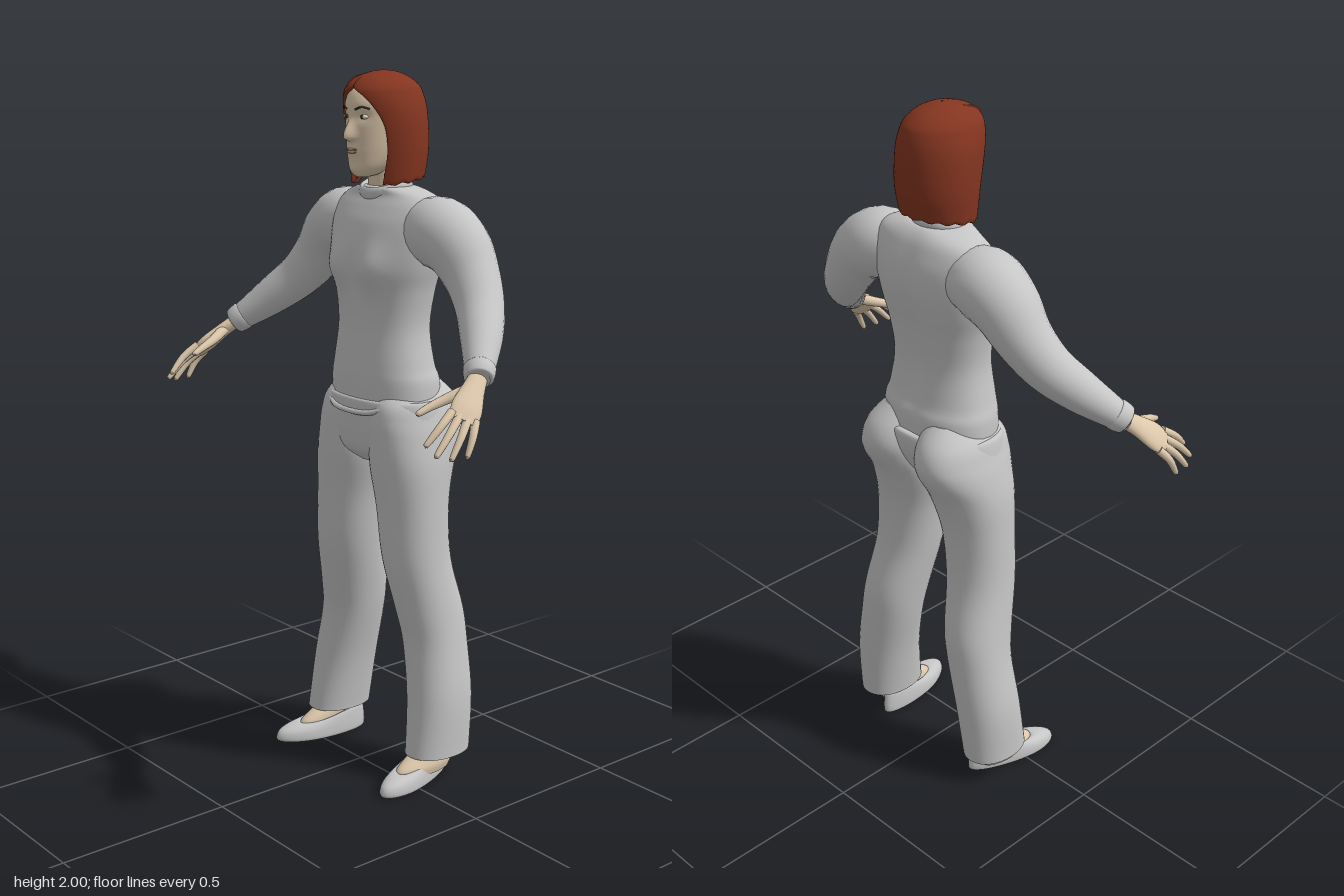
import * as THREE from 'three';

const V = (x, y, z) => new THREE.Vector3(x, y, z);
const { smoothstep } = THREE.MathUtils;
const gauss = (d, w) => Math.exp(-((d / w) ** 2));

// Catmull-Rom resampling of a short table of rows
function refine(rows, k) {
  const out = [];
  const at = i => rows[Math.max(0, Math.min(rows.length - 1, i))];
  for (let i = 0; i < rows.length - 1; i++) for (let s = 0; s < k; s++) {
    const t = s / k, [a, b, c, d] = [at(i - 1), at(i), at(i + 1), at(i + 2)];
    out.push(b.map((_, j) => 0.5 * (2 * b[j] + (c[j] - a[j]) * t + (2 * a[j] - 5 * b[j] + 4 * c[j] - d[j]) * t * t
      + (3 * b[j] - a[j] - 3 * c[j] + d[j]) * t * t * t)));
  }
  out.push(rows[rows.length - 1]);
  return out;
}

// Skin over rings of points; closed rings get end caps
function loft(rings, closed = true) {
  const pos = [], idx = [], n = rings[0].length;
  const add = p => pos.push(p.x, p.y, p.z) / 3 - 1;
  rings.forEach(r => r.forEach(add));
  for (let i = 0; i < rings.length - 1; i++) for (let j = 0; j < (closed ? n : n - 1); j++) {
    const a = i * n + j, b = i * n + (j + 1) % n;
    idx.push(a, a + n, b, b, a + n, b + n);
  }
  if (closed) [rings[0], rings[rings.length - 1]].forEach((r, end) => {
    const mid = add(r.reduce((s, p) => s.add(p), V(0, 0, 0)).divideScalar(n));
    const ids = r.map(add);
    ids.forEach((a, j) => {
      const b = ids[(j + 1) % n];
      end ? idx.push(mid, b, a) : idx.push(mid, a, b);
    });
  });
  const g = new THREE.BufferGeometry();
  g.setAttribute('position', new THREE.Float32BufferAttribute(pos, 3));
  g.setIndex(idx);
  g.computeVertexNormals();
  return g;
}

// Stack of horizontal sections, rows are [y, centre x, half width, front z, back z], bottom to top
function stack(rows, { seg = 40, k = 5, e = 1, deform } = {}) {
  const pw = c => Math.sign(c) * Math.abs(c) ** e;
  return loft(refine(rows, k).map(([y, cx, rx, zf, zb]) => Array.from({ length: seg }, (_, j) => {
    const a = j / seg * Math.PI * 2;
    const p = V(cx + rx * pw(Math.cos(a)), y, (zf + zb) / 2 + (zf - zb) / 2 * pw(Math.sin(a)));
    if (deform) deform(p);
    return p;
  })));
}

// Limb along points [x, y, z, radius u, radius v]
function limb(points, { seg = 24, k = 5, ref = V(0, 0, 1) } = {}) {
  const rows = refine(points, k);
  return loft(rows.map((r, i) => {
    const a = rows[Math.max(0, i - 1)], b = rows[Math.min(rows.length - 1, i + 1)];
    const t = V(b[0] - a[0], b[1] - a[1], b[2] - a[2]).normalize();
    const u = ref.clone().cross(t).normalize(), v = u.clone().cross(t);
    return Array.from({ length: seg }, (_, j) => {
      const q = j / seg * Math.PI * 2;
      return V(r[0], r[1], r[2]).addScaledVector(u, Math.cos(q) * r[3]).addScaledVector(v, Math.sin(q) * (r[4] ?? r[3]));
    });
  }));
}

function mirrored(g) {
  const m = g.clone().scale(-1, 1, 1), ix = m.index.array;
  for (let i = 0; i < ix.length; i += 3) [ix[i], ix[i + 1]] = [ix[i + 1], ix[i]];
  m.computeVertexNormals();
  return m;
}

function ball(x, y, z, rx, ry, rz) {
  return new THREE.SphereGeometry(1, 20, 14).scale(rx, ry, rz).translate(x, y, z);
}

export function createModel() {
  const root = new THREE.Group();
  const mat = (name, color) => Object.assign(new THREE.MeshStandardMaterial({ color }), { name });
  const fabric = mat('grey fabric', 0xc6c6c6), skin = mat('skin', 0xdcc7ab), hairMat = mat('auburn hair', 0x843520);
  const lipMat = mat('lips', 0xb8917c), white = mat('eye white', 0xe6e2da), dark = mat('dark iris', 0x3c2c22);
  hairMat.side = THREE.DoubleSide;
  const put = (name, g, m) => {
    const mesh = new THREE.Mesh(g, m);
    mesh.name = name;
    root.add(mesh);
    return mesh;
  };
  const pair = (name, g, m) => {
    put('left' + name, g, m);
    put('right' + name, mirrored(g), m);
  };

  // Sweater body with bust and spine relief
  put('sweater', stack([
    [1.06, 0, .18, .028, -.21], [1.15, 0, .178, .03, -.212], [1.2, 0, .165, .028, -.198], [1.3, 0, .149, .02, -.188],
    [1.4, 0, .16, .022, -.2], [1.47, 0, .178, .03, -.215], [1.53, 0, .188, .028, -.224], [1.59, 0, .195, .012, -.22],
    [1.635, 0, .19, -.012, -.205], [1.665, 0, .16, -.03, -.19], [1.685, 0, .1, -.03, -.17], [1.69, 0, .06, -.04, -.15],
  ], {
    seg: 64, e: .9, deform: p => {
      if (p.z > -.09) p.z += .025 * gauss(Math.abs(p.x) - .075, .05) * gauss(p.y - 1.47, .06);
      else p.z += .014 * gauss(p.x, .03) * gauss(p.y - 1.38, .2);
    },
  }), fabric);
  const collar = put('collar', new THREE.TorusGeometry(.066, .012, 12, 40).rotateX(Math.PI / 2).scale(1, 1.7, .95), fabric);
  collar.position.set(0, 1.685, -.09);
  collar.rotation.x = .3;

  // Sleeves and cuffs
  pair('Sleeve', limb([
    [.13, 1.57, -.11, .085], [.2, 1.572, -.115, .098], [.27, 1.535, -.118, .09], [.33, 1.465, -.112, .076],
    [.39, 1.395, -.085, .066], [.45, 1.335, -.035, .057], [.5, 1.285, .015, .045], [.532, 1.254, .048, .036],
  ]), fabric);
  pair('Cuff', limb([[.514, 1.272, .03, .036], [.518, 1.268, .034, .043], [.536, 1.25, .053, .039], [.538, 1.248, .055, .03]], { k: 2 }), fabric);

  // Hands
  const across = V(.487, -.417, -.765), normal = V(.77, .61, .16);
  pair('Palm', limb([[.53, 1.255, .046, .024, .02], [.55, 1.225, .085, .031, .018], [.573, 1.187, .128, .042, .017],
    [.588, 1.161, .156, .036, .01]], { ref: normal }), skin);
  [[-.033, .57, 1.115, .258], [-.011, .6, 1.093, .25], [.011, .617, 1.083, .215], [.032, .622, 1.083, .168]].forEach(([o, x, y, z], i) => {
    const b = V(.582, 1.172, .145).addScaledVector(across, o);
    const m = b.clone().lerp(V(x, y, z), .5).addScaledVector(normal, .008);
    pair('Finger' + (i + 1), limb([[b.x, b.y, b.z, .012], [m.x, m.y, m.z, .0105], [x, y, z, .0075], [x, y - .003, z + .003, .003]],
      { seg: 12, k: 4, ref: normal }), skin);
  });
  pair('Thumb', limb([[.542, 1.228, .09, .017], [.518, 1.206, .145, .014], [.506, 1.19, .19, .011], [.5, 1.176, .224, .008],
    [.499, 1.174, .227, .003]], { seg: 12, k: 4, ref: normal }), skin);

  // Trousers: hips, legs and front waist seam
  put('hips', stack([
    [.915, 0, .06, -.02, -.13], [.95, 0, .17, .018, -.165], [1, 0, .205, .03, -.2], [1.05, 0, .203, .035, -.222],
    [1.1, 0, .194, .037, -.226], [1.105, 0, .18, .02, -.2],
  ], { seg: 56, e: .88 }), fabric);
  pair('TrouserLeg', stack([
    [.085, .226, .074, .002, -.2], [.1, .226, .074, 0, -.203], [.25, .214, .084, -.02, -.213], [.4, .186, .088, -.03, -.216],
    [.5, .17, .09, -.014, -.212], [.65, .149, .095, .014, -.178], [.8, .134, .103, .02, -.177], [.92, .118, .114, .03, -.208],
    [1, .112, .107, .033, -.253], [1.05, .106, .1, .033, -.264], [1.1, .1, .088, .02, -.246], [1.15, .085, .06, -.03, -.2],
  ], { e: .92 }), fabric);
  put('waistSeam', new THREE.TubeGeometry(new THREE.CatmullRomCurve3([
    V(-.115, 1.085, .017), V(-.07, 1.072, .034), V(0, 1.068, .04), V(.07, 1.072, .034), V(.115, 1.085, .017)]), 32, .008, 8), fabric);

  // Feet and slip-on shoes, toes turned slightly out
  pair('Shoe', stack([
    [0, 0, .046, .11, -.155], [.08, 0, .052, .122, -.163], [.3, 0, .053, .125, -.165], [.65, 0, .051, .115, -.163],
    [.92, 0, .046, .085, -.16], [1, 0, .04, .055, -.155], [.9, 0, .035, .045, -.15],
  ], {
    k: 3, deform: p => {
      p.y *= .05 + .026 * smoothstep(-p.z, -.05, .12);
      p.x = .221 + .2 * p.z + p.x * (.95 + 1.2 * Math.min(p.z, .04));
    },
  }), fabric);
  pair('Foot', stack([[.03, .225, .035, .05, -.14], [.052, .225, .039, .048, -.15], [.075, .222, .037, .012, -.15],
    [.1, .222, .036, -.03, -.145], [.16, .22, .034, -.05, -.135]], { k: 3 }), skin);

  // Neck and head with sculpted nose, sockets and chin
  put('neck', stack([[1.64, 0, .055, -.04, -.145], [1.72, 0, .05, -.04, -.14], [1.8, 0, .052, -.03, -.15]]), skin);
  put('head', stack([
    [1.716, 0, .016, .01, -.03], [1.724, 0, .034, .02, -.06], [1.745, 0, .054, .027, -.09], [1.78, 0, .071, .03, -.14],
    [1.82, 0, .08, .033, -.17], [1.88, 0, .086, .036, -.19], [1.92, 0, .084, .034, -.185], [1.955, 0, .065, .012, -.16],
    [1.975, 0, .03, -.04, -.12],
  ], {
    seg: 96, k: 8, deform: p => {
      if (p.z < -.04) return;
      const ridge = smoothstep(-p.y, -1.885, -1.826) * smoothstep(p.y, 1.808, 1.822);
      p.z += .027 * gauss(p.x, .007 + .009 * ridge) * ridge;
      p.z -= .008 * gauss(Math.abs(p.x) - .034, .02) * gauss(p.y - 1.878, .014);
      p.z += .005 * gauss(p.x, .025) * (gauss(p.y - 1.787, .012) + gauss(p.y - 1.737, .012));
    },
  }), skin);
  pair('Eye', ball(.034, 1.878, .017, .015, .0065, .008), white);
  pair('Iris', ball(.033, 1.878, .0225, .0055, .0058, .004), dark);
  pair('Brow', new THREE.TubeGeometry(new THREE.CatmullRomCurve3([V(.016, 1.897, .033), V(.036, 1.904, .027), V(.054, 1.899, .013)]), 12, .0028, 6), dark);
  put('upperLip', ball(0, 1.791, .033, .023, .0035, .005), lipMat);
  put('lowerLip', ball(0, 1.784, .033, .019, .0042, .005), lipMat);

  // Bobbed hair open at the face; rows are [y, half width, front z, back z, opening angle]
  const hairRows = refine([
    [1.702, .106, 0, -.195, .68], [1.78, .113, .01, -.207, .82], [1.85, .113, .024, -.208, .84], [1.9, .108, .034, -.205, .68],
    [1.935, .098, .037, -.197, .42], [1.957, .088, .03, -.186, .06], [1.98, .064, .004, -.158, .01], [1.995, .032, -.04, -.12, .01],
    [2, .003, -.077, -.083, .01],
  ], 5);
  const hairRing = ([y, rx, zf, zb, open], s = 1, lift = 0) => {
    const n = 56, ring = [];
    for (let j = -2; j <= n + 2; j++) {
      // extra columns at both ends fold the edge inward
      const over = j < 0 ? -j : Math.max(0, j - n), o = Math.max(.005, open);
      const th = o + (2 * Math.PI - 2 * o) * Math.max(0, Math.min(n, j)) / n;
      const f = s * (1 - .07 * over), low = smoothstep(-y, -1.8, -1.7);
      ring.push(V(-rx * f * Math.sin(th), y + lift + low * (.004 - .013 * Math.cos(th) + .003 * Math.sin(th * 14)),
        (zf + zb) / 2 + (zf - zb) / 2 * f * Math.cos(th)));
    }
    return ring.reverse();
  };
  put('hair', loft([hairRing(hairRows[0], .7, .03), hairRing(hairRows[0], .95, -.002), ...hairRows.map(r => hairRing(r))], false), hairMat);
  put('hairParting', new THREE.TubeGeometry(new THREE.CatmullRomCurve3([
    V(-.028, 1.957, .026), V(-.036, 1.978, -.005), V(-.037, 1.988, -.05), V(-.03, 1.992, -.09)]), 16, .003, 6), hairMat);
  return root;
}
